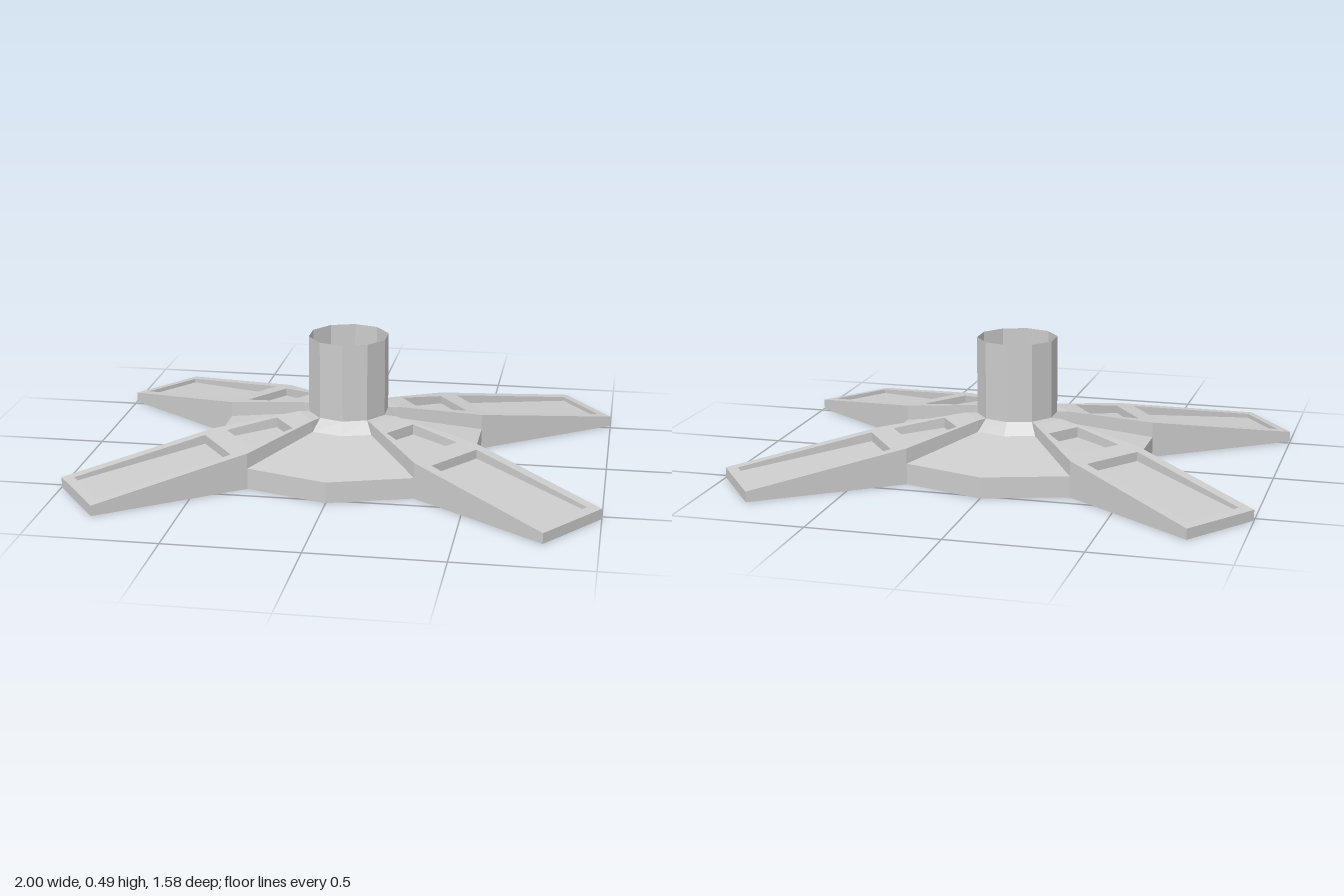
import * as THREE from 'three';

const mat = new THREE.MeshStandardMaterial({ color: 0xcccccc, flatShading: true, side: THREE.DoubleSide });
const LEG_ANGLE = Math.PI / 5;
const COL_R = 0.155;
const TOP = 0.19;

// Leg stations: distance from the centre and half width
const COLLAR = [COL_R * Math.cos(Math.PI / 10), COL_R * Math.sin(Math.PI / 10)];
const HUB = [0.187, 0.065], ROOT = [0.504, 0.163], TIP = [1.116, 0.164];
const HUB_Y = 0.145, RIM_Y = 0.08, TIP_Y = 0.04;

// Height of the sloping leg top at distance r
const topY = (r) => r <= HUB[0] ? TOP : THREE.MathUtils.mapLinear(r, HUB[0], TIP[0], TOP, TIP_Y);

// Mesh from quads, corners counter-clockwise seen from outside
function quadMesh(name, quads) {
  const pos = [];
  for (const [a, b, c, d] of quads) pos.push(...a, ...b, ...c, ...a, ...c, ...d);
  const geo = new THREE.BufferGeometry();
  geo.setAttribute('position', new THREE.Float32BufferAttribute(pos, 3));
  geo.computeVertexNormals();
  const mesh = new THREE.Mesh(geo, mat);
  mesh.name = name;
  return mesh;
}

// Four corners of a trapezoid between two stations
const trapezoid = (s0, s1, y) => [[s0, 1], [s1, 1], [s1, -1], [s0, -1]]
  .map(([s, side]) => [s[0], y(s[0]), s[1] * side]);

// Rim around a sunken pocket, with its walls and floor
function pocket(outer, inner, floor) {
  const quads = [floor];
  for (let i = 0; i < 4; i++) {
    const j = (i + 1) % 4;
    quads.push([outer[i], outer[j], inner[j], inner[i]], [inner[i], inner[j], floor[j], floor[i]]);
  }
  return quads;
}

// One leg pointing along +x
function makeLeg() {
  const quads = [trapezoid(COLLAR, HUB, topY)];
  const pockets = [
    { from: HUB, to: ROOT, a: [0.275, 0.072], b: [0.47, 0.105], deep: [0.04, 0.03] },
    { from: ROOT, to: TIP, a: [0.553, 0.124], b: [1.078, 0.126], deep: [0.035, 0.016] },
  ];
  for (const { from, to, a, b, deep } of pockets) {
    const floorY = (r) => topY(r) - (r === a[0] ? deep[0] : deep[1]);
    quads.push(...pocket(trapezoid(from, to, topY), trapezoid(a, b, topY), trapezoid(a, b, floorY)));
  }
  // Side walls: collar, tapered hub part, straight outer part
  const walls = [
    [COLLAR, HUB, TOP, HUB_Y],
    [HUB, ROOT, HUB_Y, RIM_Y],
    [ROOT, TIP, 0, 0],
  ];
  for (const [s0, s1, low0, low1] of walls) {
    const low = trapezoid(s0, s1, (r) => (r === s0[0] ? low0 : low1));
    const high = trapezoid(s0, s1, topY);
    quads.push([low[0], low[1], high[1], high[0]], [low[2], low[3], high[3], high[2]]);
  }
  const [t, h] = [TIP[1], TIP_Y];
  quads.push([[TIP[0], 0, t], [TIP[0], 0, -t], [TIP[0], h, -t], [TIP[0], h, t]]);
  return quadMesh('leg', quads);
}

// Plan position of a leg corner in the front left quadrant
function corner([r, s], side) {
  const c = Math.cos(LEG_ANGLE), n = Math.sin(LEG_ANGLE);
  return [r * c - s * side * n, r * n + s * side * c];
}

// Sloped plate panel between two legs: rim wall, slope and steep collar
function makePanel(name, plan) {
  const at = (pts, y) => pts.map(([x, z]) => [x, y, z]);
  const rows = [at(plan.rim, 0), at(plan.rim, RIM_Y), at(plan.hub, HUB_Y), at(plan.collar, TOP)];
  const quads = [];
  for (let k = 0; k < 3; k++) {
    for (let i = 0; i < plan.rim.length - 1; i++) {
      quads.push([rows[k][i], rows[k][i + 1], rows[k + 1][i + 1], rows[k + 1][i]]);
    }
  }
  return quadMesh(name, quads);
}

export function createModel() {
  const group = new THREE.Group();

  // Four legs
  for (const angle of [LEG_ANGLE, Math.PI - LEG_ANGLE, Math.PI + LEG_ANGLE, -LEG_ANGLE]) {
    const leg = makeLeg();
    leg.rotation.y = angle;
    group.add(leg);
  }

  // Panels: pointed at front and back, straight at the sides
  const pointed = (s, mid) => {
    const [x, z] = corner(s, 1);
    return [[-x, z], [0, mid], [x, z]];
  };
  const straight = (s) => {
    const [x, z] = corner(s, -1);
    return [[x, z], [x, -z]];
  };
  for (const turn of [0, Math.PI]) {
    const endPanel = makePanel('endPanel', {
      rim: pointed(ROOT, 0.527), hub: pointed(HUB, 0.195), collar: pointed(COLLAR, COL_R),
    });
    const sidePanel = makePanel('sidePanel', {
      rim: straight(ROOT), hub: straight(HUB), collar: straight(COLLAR),
    });
    endPanel.rotation.y = sidePanel.rotation.y = turn;
    group.add(endPanel, sidePanel);
  }

  // Flat underside
  const quarter = [corner(ROOT, -1), corner(TIP, -1), corner(TIP, 1), corner(ROOT, 1)];
  const half = [...quarter, [0, 0.527], ...quarter.map(([x, z]) => [-x, z]).reverse()];
  const outline = [...half, ...half.map(([x, z]) => [-x, -z])];
  const shape = new THREE.Shape(outline.map(([x, z]) => new THREE.Vector2(x, z)));
  const underside = new THREE.Mesh(new THREE.ShapeGeometry(shape).rotateX(Math.PI / 2), mat);
  underside.name = 'underside';
  group.add(underside);

  // Open ten-sided socket and its floor
  const socket = new THREE.Mesh(new THREE.CylinderGeometry(COL_R, COL_R, 0.3, 10, 1, true), mat);
  socket.name = 'socket';
  socket.position.y = TOP + 0.15;
  const floor = new THREE.Mesh(new THREE.CircleGeometry(COL_R, 10, Math.PI / 2).rotateX(-Math.PI / 2), mat);
  floor.name = 'socketFloor';
  floor.position.y = TOP;
  group.add(socket, floor);

  return group;
}
